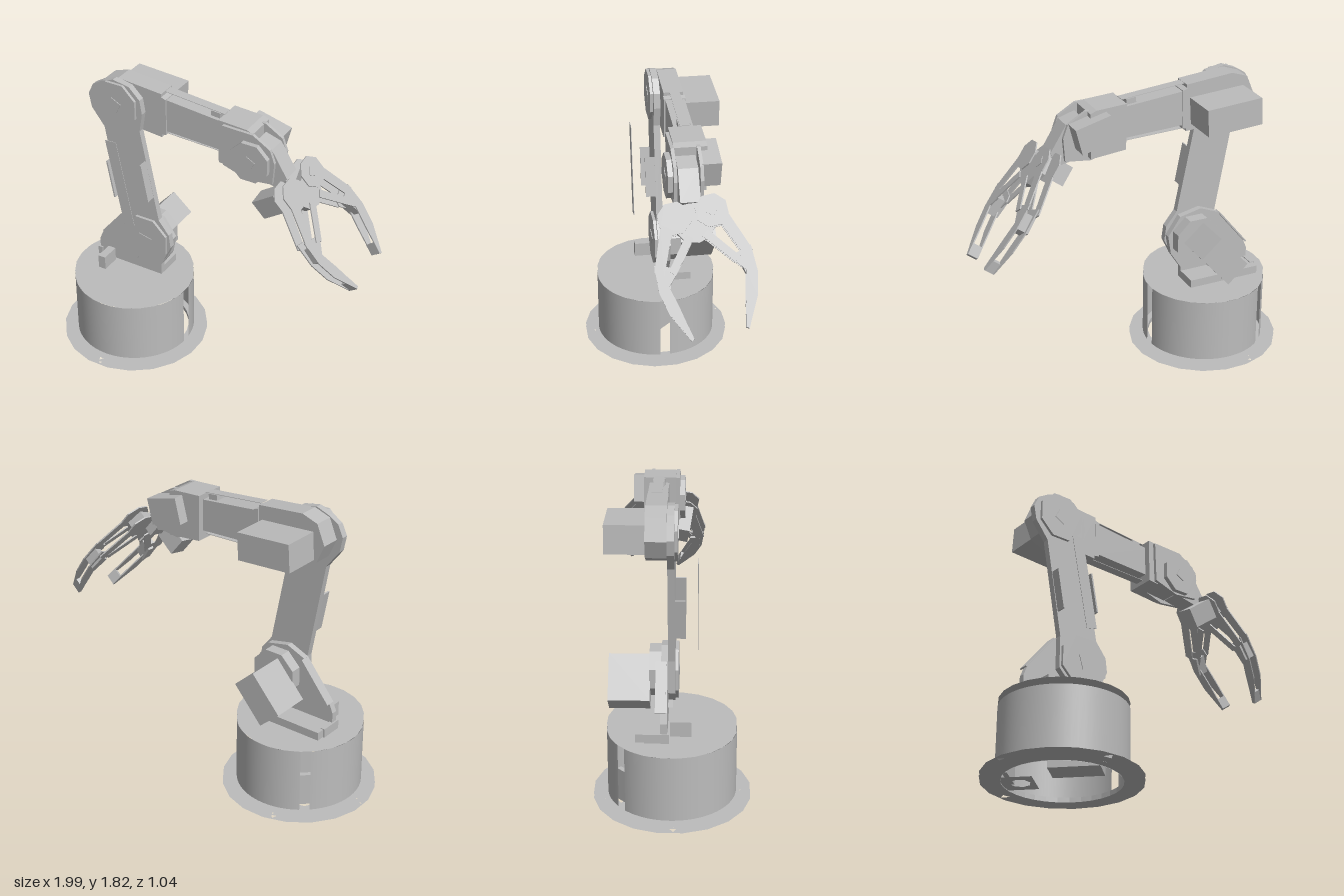
import * as THREE from 'three';

const grey = new THREE.MeshStandardMaterial({ color: 0xbcbcbc, flatShading: true, side: THREE.DoubleSide });
grey.name = 'plain grey';

function add(parent, name, geo, x = 0, y = 0, z = 0) {
  const m = new THREE.Mesh(geo, grey);
  m.name = name;
  m.position.set(x, y, z);
  parent.add(m);
  return m;
}

// box centred on a point, tilted in the arm's own plane
function box(parent, name, size, pos, tilt = 0) {
  const m = add(parent, name, new THREE.BoxGeometry(...size), ...pos);
  m.rotation.z = tilt;
  return m;
}

const outline = pts => new THREE.Shape(pts.map(p => new THREE.Vector2(...p)));

// side profile extruded from depth z0 to z1
function plate(parent, name, pts, z0, z1) {
  const geo = new THREE.ExtrudeGeometry(outline(pts), { depth: z1 - z0, bevelEnabled: false });
  return add(parent, name, geo, 0, 0, z0);
}

const ngon = (n, r, cx = 0, cy = 0, turn = 0) => Array.from({ length: n }, (_, i) => {
  const a = turn + i / n * Math.PI * 2;
  return [cx + r * Math.cos(a), cy + r * Math.sin(a)];
});

// joint cap: polygonal disc with a small raised screw head
function jointCap(parent, name, sides, r, x, y, z0, z1, head) {
  plate(parent, name, ngon(sides, r, x, y, Math.PI / 8), z0, z1);
  plate(parent, name + 'Screw', ngon(head, r * 0.33, x, y, 0.3), z1, z1 + 0.004);
}

// flat horizontal sheet with optional holes
function sheet(parent, name, pts, y, holes = []) {
  const s = outline(pts);
  holes.forEach(h => s.holes.push(new THREE.Path(h.map(p => new THREE.Vector2(...p)))));
  add(parent, name, new THREE.ShapeGeometry(s), 0, y, 0).rotation.x = -Math.PI / 2;
}

function buildBase(base) {
  // floor flange with a central opening and three screw holes
  const holes = [ngon(32, 0.345)];
  [2.0, 3.33, 4.88].forEach(a => holes.push(ngon(3, 0.035, 0.415 * Math.cos(a), 0.415 * Math.sin(a), a)));
  sheet(base, 'flangeBottom', ngon(20, 0.465), 0.002, holes);
  sheet(base, 'flangeTop', ngon(20, 0.465), 0.03, holes);
  add(base, 'flangeInnerWall', new THREE.CylinderGeometry(0.345, 0.345, 0.03, 32, 1, true), 0, 0.015, 0);
  sheet(base, 'portTab', ngon(4, 0.15, -0.205, 0.157, 2.48 + Math.PI / 4), 0.004, [ngon(8, 0.06, -0.19, 0.145)]);

  // drum wall, split by two cable slots
  const smooth = grey.clone();
  smooth.flatShading = false;
  [[1.83, 3.93], [4.09, 7.95]].forEach(([a, b]) => {
    const wall = add(base, 'drumWall',
      new THREE.CylinderGeometry(0.378, 0.378, 0.4, 40, 1, true, a, b - a), 0, 0.233, 0);
    wall.material = smooth;
  });
  sheet(base, 'turntableLower', ngon(24, 0.378), 0.433);
  sheet(base, 'turntableUpper', ngon(24, 0.378), 0.474);

  // motor inside the drum and the socket block behind the rear slot
  box(base, 'turntableMotor', [0.3, 0.3, 0.17], [0.07, 0.215, 0.03]).rotation.y = -0.66;
  box(base, 'socketBlock', [0.03, 0.2, 0.2], [-0.24, 0.14, -0.2]).rotation.y = -0.66;
}

function buildShoulder(arm) {
  // foot and upright bracket
  box(arm, 'footPlate', [0.46, 0.05, 0.178], [-0.04, 0.5, -0.111]);
  plate(arm, 'shoulderBracket', [[-0.27, 0.475], [0.19, 0.475], [0.19, 0.55], [0.26, 0.66], [0.28, 0.78],
    [0.2, 0.9], [0.06, 0.93], [-0.06, 0.88], [-0.245, 0.65], [-0.27, 0.59]], -0.06, -0.022);
  box(arm, 'bracketGusset', [0.01, 0.3, 0.06], [-0.155, 0.765, -0.06], -0.68);
  box(arm, 'connector', [0.05, 0.09, 0.12], [-0.17, 0.52, 0.055]);
  box(arm, 'connectorSide', [0.03, 0.055, 0.14], [-0.265, 0.502, -0.08]);
  box(arm, 'cableClip', [0.03, 0.05, 0.03], [0.02, 0.58, -0.01], -0.4);
  plate(arm, 'shoulderMotorMount', ngon(8, 0.15, 0.109, 0.755, Math.PI / 8), -0.13, -0.06);
  box(arm, 'shoulderMotor', [0.28, 0.17, 0.24], [0.05, 0.705, -0.245], 0.85);
}

function buildUpperArm(arm) {
  plate(arm, 'upperArm', [[-0.17, 1.79], [-0.09, 1.82], [0.02, 1.8], [0.09, 1.73], [0.105, 1.64], [0.085, 1.52],
    [0.205, 0.92], [0.275, 0.83], [0.287, 0.74], [0.235, 0.63], [0.135, 0.58], [0.02, 0.6], [-0.055, 0.68],
    [-0.055, 0.88], [-0.165, 1.48], [-0.25, 1.59], [-0.268, 1.68], [-0.235, 1.75]], -0.02, 0.02);
  jointCap(arm, 'elbowCap', 8, 0.155, -0.078, 1.66, 0.02, 0.038, 4);
  jointCap(arm, 'shoulderCap', 8, 0.165, 0.109, 0.755, 0.02, 0.038, 3);
  // raised front cover and side fins
  plate(arm, 'armCover', [[-0.075, 1.48], [0.0, 1.485], [0.111, 0.925], [0.04, 0.91]], 0.147, 0.15);
  [[-0.096, 1.155], [0.143, 1.2]].forEach(([u, y]) => box(arm, 'armFin', [0.01, 0.25, 0.06], [u, y, 0.05], 0.19));
}

function buildForearm(arm) {
  plate(arm, 'forearmRoot', [[-0.23, 1.66], [-0.18, 1.78], [-0.08, 1.815], [0.215, 1.79], [0.215, 1.5],
    [0.09, 1.51], [-0.08, 1.5], [-0.18, 1.55]], -0.14, -0.022);
  box(arm, 'elbowMotor', [0.35, 0.165, 0.24], [0.015, 1.635, -0.245], -0.06);
  plate(arm, 'forearmCollar', [[0.215, 1.77], [0.245, 1.76], [0.245, 1.525], [0.215, 1.52]], -0.15, -0.02);
  plate(arm, 'forearm', [[0.245, 1.755], [0.64, 1.72], [0.64, 1.53], [0.245, 1.545]], -0.145, -0.03);
  // thin cover strips above and below
  box(arm, 'topStrip', [0.4, 0.003, 0.06], [0.42, 1.775, -0.088], -0.085);
  box(arm, 'bottomStrip', [0.4, 0.003, 0.06], [0.42, 1.508, -0.088], -0.03);
  box(arm, 'forearmLug', [0.06, 0.05, 0.07], [0.56, 1.735, -0.088], -0.1);
}

function buildWrist(arm) {
  plate(arm, 'wristHousing', [[0.615, 1.755], [0.8, 1.745], [0.84, 1.73], [0.84, 1.455], [0.62, 1.475]], -0.18, 0.01);
  const cheek = [[0.65, 1.74], [0.85, 1.735], [0.96, 1.67], [0.99, 1.59], [0.98, 1.45], [0.82, 1.43], [0.66, 1.48]];
  plate(arm, 'wristCheek', cheek, 0.01, 0.03);
  plate(arm, 'wristCheek', cheek, -0.14, -0.12);
  jointCap(arm, 'wristCap', 8, 0.13, 0.84, 1.565, 0.03, 0.06, 4);
  box(arm, 'wristMotor', [0.22, 0.16, 0.11], [0.83, 1.625, -0.19], -0.25);
  plate(arm, 'wristYoke', [[0.86, 1.69], [0.96, 1.66], [1.06, 1.5], [1.0, 1.42], [0.84, 1.45]], -0.11, 0.005);
}

function buildGripper(hand) {
  // in-plane outlines (along, across) stacked through the hand's thickness
  const layer = (name, pts, n0, n1, mirror = 1) => {
    const geo = new THREE.ExtrudeGeometry(outline(pts.map(([s, t]) => [s, -t * mirror])),
      { depth: n1 - n0, bevelEnabled: false });
    add(hand, name, geo.rotateX(-Math.PI / 2), 0, n0, 0);
  };
  layer('palm', [[-0.05, -0.1], [-0.02, 0], [-0.05, 0.1], [0.05, 0.13], [0.14, 0.07], [0.16, 0], [0.14, -0.07],
    [0.05, -0.13]], -0.025, 0.025);
  box(hand, 'gripperMotor', [0.125, 0.18, 0.11], [0.0, -0.15, 0.11]);
  box(hand, 'palmNeck', [0.1, 0.08, 0.1], [-0.02, -0.065, 0]);
  for (const side of [1, -1]) {
    const disc = ngon(8, 0.095, 0, 0.105, 0.4);
    layer('gearPlate', disc, 0.025, 0.033, side);
    layer('gearPlate', disc, -0.05, -0.042, side);
    for (const n of [-0.05, 0.025]) {
      layer('outerLink', [[0.02, 0.185], [0.26, 0.275], [0.3, 0.23], [0.06, 0.13]], n, n + 0.008, side);
      layer('innerLink', [[0.1, 0.06], [0.28, 0.2], [0.305, 0.165], [0.13, 0.025]], n + 0.008, n + 0.016, side);
    }
    for (const n of [-0.035, 0.025]) {
      layer('finger', [[0.23, 0.27], [0.38, 0.275], [0.51, 0.245], [0.675, 0.16], [0.65, 0.15], [0.48, 0.185],
        [0.36, 0.215], [0.3, 0.165], [0.26, 0.175]], n, n + 0.008, side);
    }
    layer('fingerCore', [[0.28, 0.25], [0.38, 0.26], [0.41, 0.22], [0.3, 0.19]], -0.05, 0.025, side);
    layer('fingerPad', [[0.605, 0.185], [0.675, 0.16], [0.665, 0.145], [0.595, 0.16]], -0.035, 0.033, side);
  }
  // pivot screw on one gear
  layer('gearScrew', ngon(4, 0.035, 0, 0.105), 0.033, 0.037, -1);
}

export function createModel() {
  const model = new THREE.Group();
  model.name = 'robotArm';
  const group = (name, x, y, z) => {
    const g = new THREE.Group();
    g.name = name;
    g.position.set(x, y, z);
    model.add(g);
    return g;
  };
  buildBase(group('base', -0.533, 0, 0.047));

  // everything above the turntable is swivelled a little
  const arm = group('arm', -0.533, 0, 0.047);
  arm.rotation.y = 0.15;
  buildShoulder(arm);
  buildUpperArm(arm);
  buildForearm(arm);
  buildWrist(arm);

  // the hand dips forward, then swings sideways within its own plane
  const hand = group('gripper', 0.56, 1.45, -0.175);
  hand.rotation.set(0, 0.23, -0.94, 'ZYX');
  buildGripper(hand);
  return model;
}
